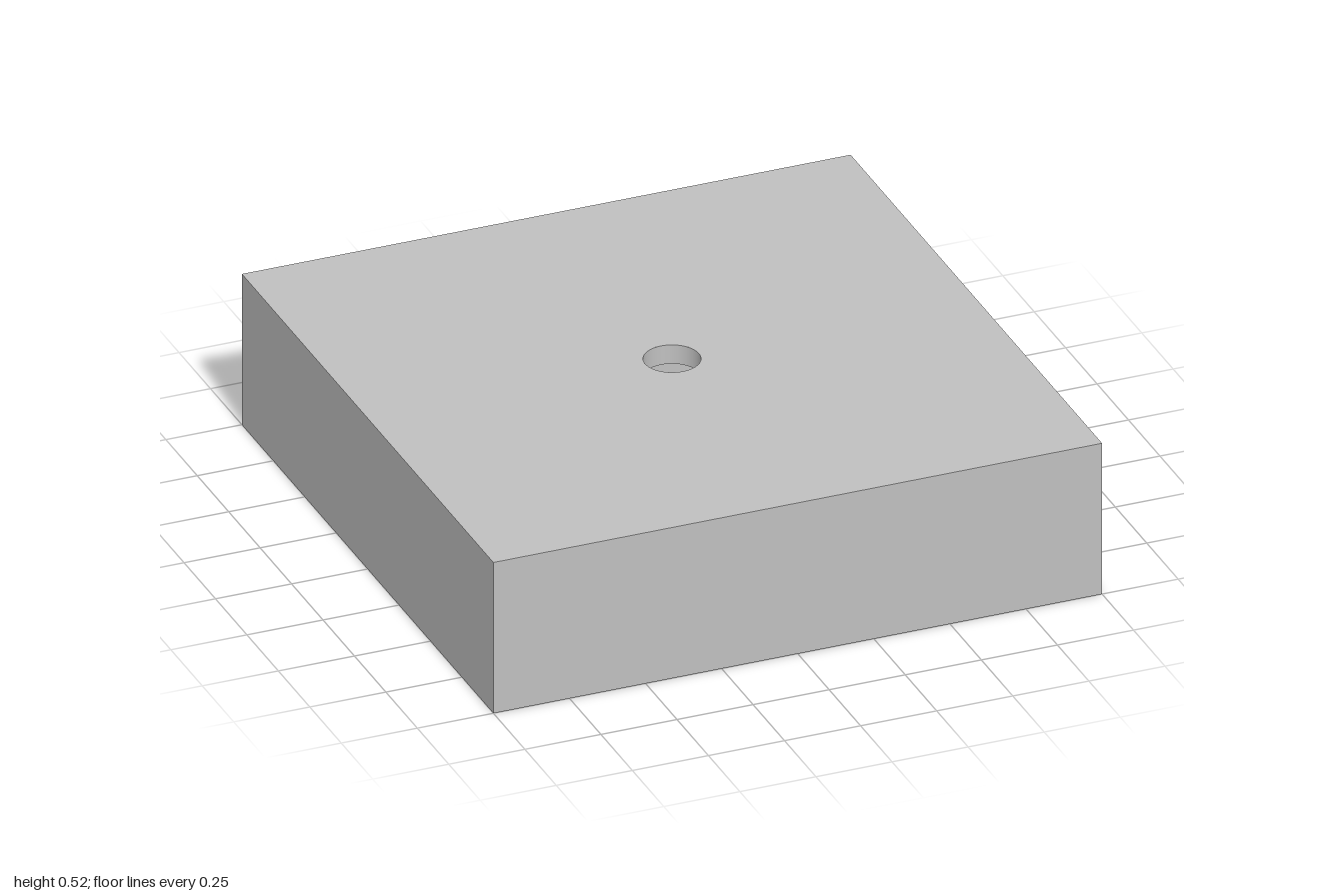
import * as THREE from 'three';

const HEIGHT = 0.52, LID = 0.065, WALL = 0.088;
const INNER = 1 - WALL, CEILING = HEIGHT - LID;
const TOP_R = 0.088, SIDE_R = 0.132, SIDE_Y = 0.248;
const SEGMENTS = 24;

// Flat rectangle facing +z, from (-half, y0) to (half, y1), with an optional hole path
function panel(half, y0, y1, hole) {
  const shape = new THREE.Shape([
    new THREE.Vector2(-half, y0), new THREE.Vector2(half, y0),
    new THREE.Vector2(half, y1), new THREE.Vector2(-half, y1),
  ]);
  if (hole) shape.holes.push(hole);
  return new THREE.ShapeGeometry(shape, SEGMENTS * 2);
}

function circle(y, r) {
  return new THREE.Path().absarc(0, y, r, 0, Math.PI * 2, true);
}

function square(half) {
  return new THREE.Path([
    new THREE.Vector2(-half, -half), new THREE.Vector2(-half, half),
    new THREE.Vector2(half, half), new THREE.Vector2(half, -half),
  ]);
}

export function createModel() {
  const group = new THREE.Group();
  const grey = new THREE.MeshStandardMaterial({ color: 0xc0c0c0, side: THREE.DoubleSide });
  grey.name = 'light grey';

  const add = (name, geometry) => {
    const mesh = new THREE.Mesh(geometry, grey);
    mesh.name = name;
    group.add(mesh);
  };

  // Lid: outside face, ceiling of the cavity, and the bottom rim around the opening
  add('lidTop', panel(1, -1, 1, circle(0, TOP_R)).rotateX(-Math.PI / 2).translate(0, HEIGHT, 0));
  add('cavityCeiling', panel(INNER, -INNER, INNER, circle(0, TOP_R)).rotateX(Math.PI / 2).translate(0, CEILING, 0));
  add('bottomRim', panel(1, -1, 1, square(INNER)).rotateX(Math.PI / 2));

  // Four walls, outside and inside; only the left one is drilled
  ['front', 'left', 'back', 'right'].forEach((side, i) => {
    const hole = () => (side === 'left' ? circle(SIDE_Y, SIDE_R) : null);
    const turn = i * Math.PI / 2;
    add(side + 'WallOutside', panel(1, 0, HEIGHT, hole()).translate(0, 0, 1).rotateY(turn));
    add(side + 'WallInside', panel(INNER, 0, CEILING, hole())
      .rotateY(Math.PI).translate(0, 0, INNER).rotateY(turn));
  });

  // Bores lining the two holes
  add('lidBore', new THREE.CylinderGeometry(TOP_R, TOP_R, LID, SEGMENTS * 2, 1, true)
    .translate(0, HEIGHT - LID / 2, 0));
  add('sideBore', new THREE.CylinderGeometry(SIDE_R, SIDE_R, WALL, SEGMENTS * 2, 1, true)
    .rotateZ(Math.PI / 2).translate(1 - WALL / 2, SIDE_Y, 0));

  return group;
}
